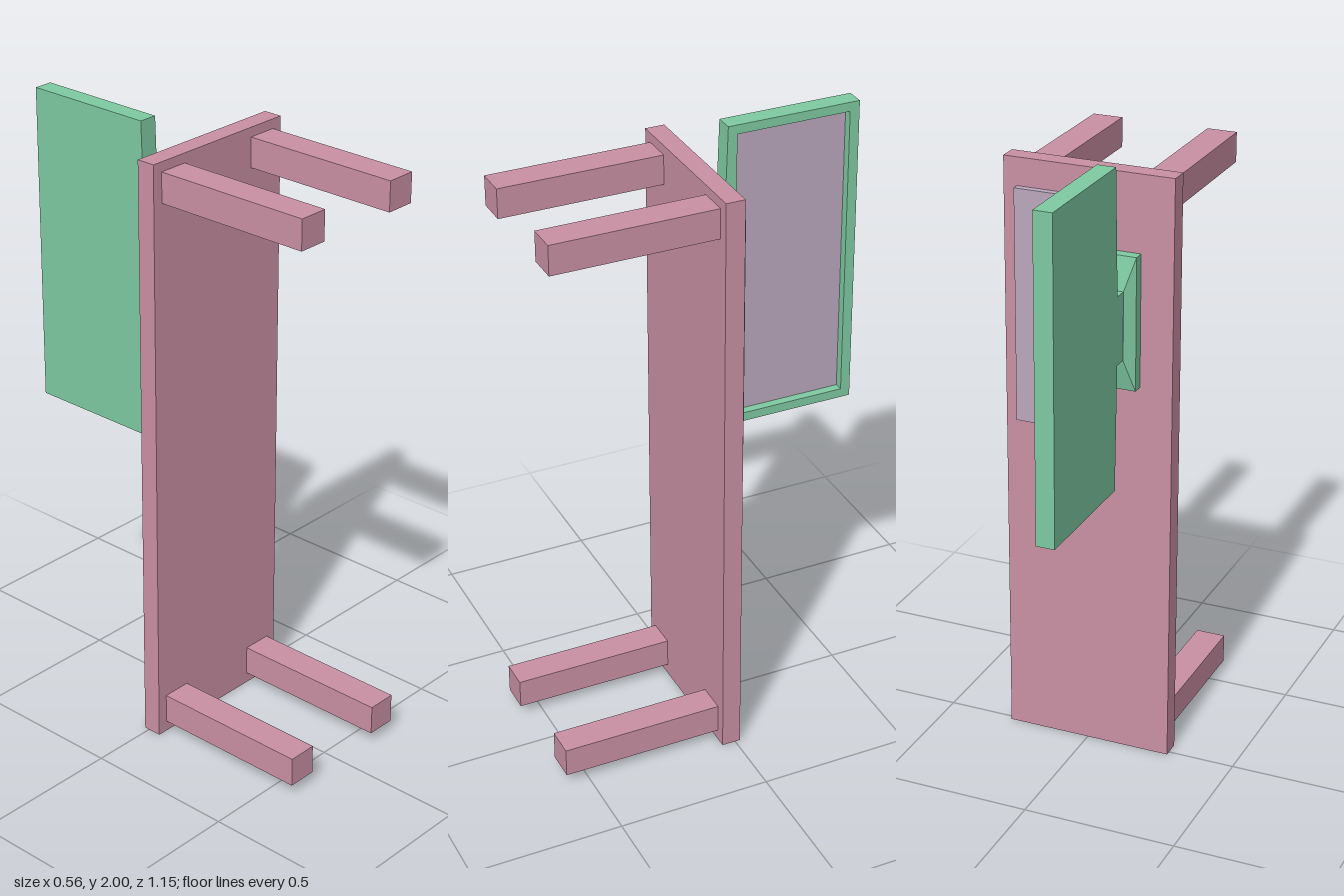
import * as THREE from 'three';

const material = (name, color) => {
  const m = new THREE.MeshStandardMaterial({ color });
  m.name = name;
  return m;
};

export function createModel() {
  const group = new THREE.Group();
  const pink = material('dusty pink', 0xca90a4);
  const green = material('mint green', 0x7fcaa2);
  const lilac = material('pale lilac', 0xbba8bd);

  const add = (name, geometry, mat) => {
    const mesh = new THREE.Mesh(geometry, mat);
    mesh.name = name;
    group.add(mesh);
    return mesh;
  };
  // Box given by its lower and upper limits on each axis
  const box = (name, mat, [x0, x1], [y0, y1], [z0, z1]) => {
    const g = new THREE.BoxGeometry(x1 - x0, y1 - y0, z1 - z0);
    g.translate((x0 + x1) / 2, (y0 + y1) / 2, (z0 + z1) / 2);
    return add(name, g, mat);
  };

  // Table lying on its side: upright top with legs pointing forward
  box('tableTop', pink, [-0.28, 0.276], [0, 1.948], [-0.017, 0.045]);
  for (const x of [[-0.246, -0.148], [0.142, 0.241]]) {
    for (const y of [[0.036, 0.133], [1.82, 1.917]]) {
      box('tableLeg', pink, x, y, [0.045, 0.575]);
    }
  }

  // Keyboard slab on the table top
  box('keyboard', lilac, [0.015, 0.232], [1.1, 1.858], [-0.04, -0.017]);

  // Monitor foot: flat plate and a tapered block leading to the neck
  box('monitorFoot', green, [-0.174, -0.052], [1.27, 1.7], [-0.052, -0.017]);
  const taper = new THREE.BoxGeometry(0.122, 0.43, 0.025);
  const p = taper.attributes.position;
  for (let i = 0; i < p.count; i++) {
    if (p.getZ(i) < 0) p.setXY(i, p.getX(i) * 0.5, p.getY(i) * 0.52);
  }
  taper.computeVertexNormals();
  taper.translate(-0.113, 1.485, -0.0645);
  add('monitorFootTaper', taper, green);

  // Monitor profile: shape x is distance behind the table, extruded along x
  const outline = () => new THREE.Shape([
    [0.077, 1.376], [0.121, 1.376], [0.135, 0.968], [0.575, 0.968],
    [0.575, 2], [0.135, 2], [0.121, 1.596], [0.077, 1.596],
  ].map(([u, v]) => new THREE.Vector2(u, v)));
  const slab = (name, shape, x0, x1) => {
    const g = new THREE.ExtrudeGeometry(shape, { depth: x1 - x0, bevelEnabled: false });
    g.rotateY(Math.PI / 2);
    g.translate(x0, 0, 0);
    return add(name, g, green);
  };
  slab('monitorBack', outline(), -0.143, -0.113);
  const frame = outline();
  frame.holes.push(new THREE.Path([
    [0.165, 0.998], [0.165, 1.97], [0.543, 1.97], [0.543, 0.998],
  ].map(([u, v]) => new THREE.Vector2(u, v))));
  slab('monitorFrame', frame, -0.113, -0.082);

  // Recessed screen
  box('screen', lilac, [-0.114, -0.111], [0.998, 1.97], [-0.543, -0.165]);

  return group;
}
